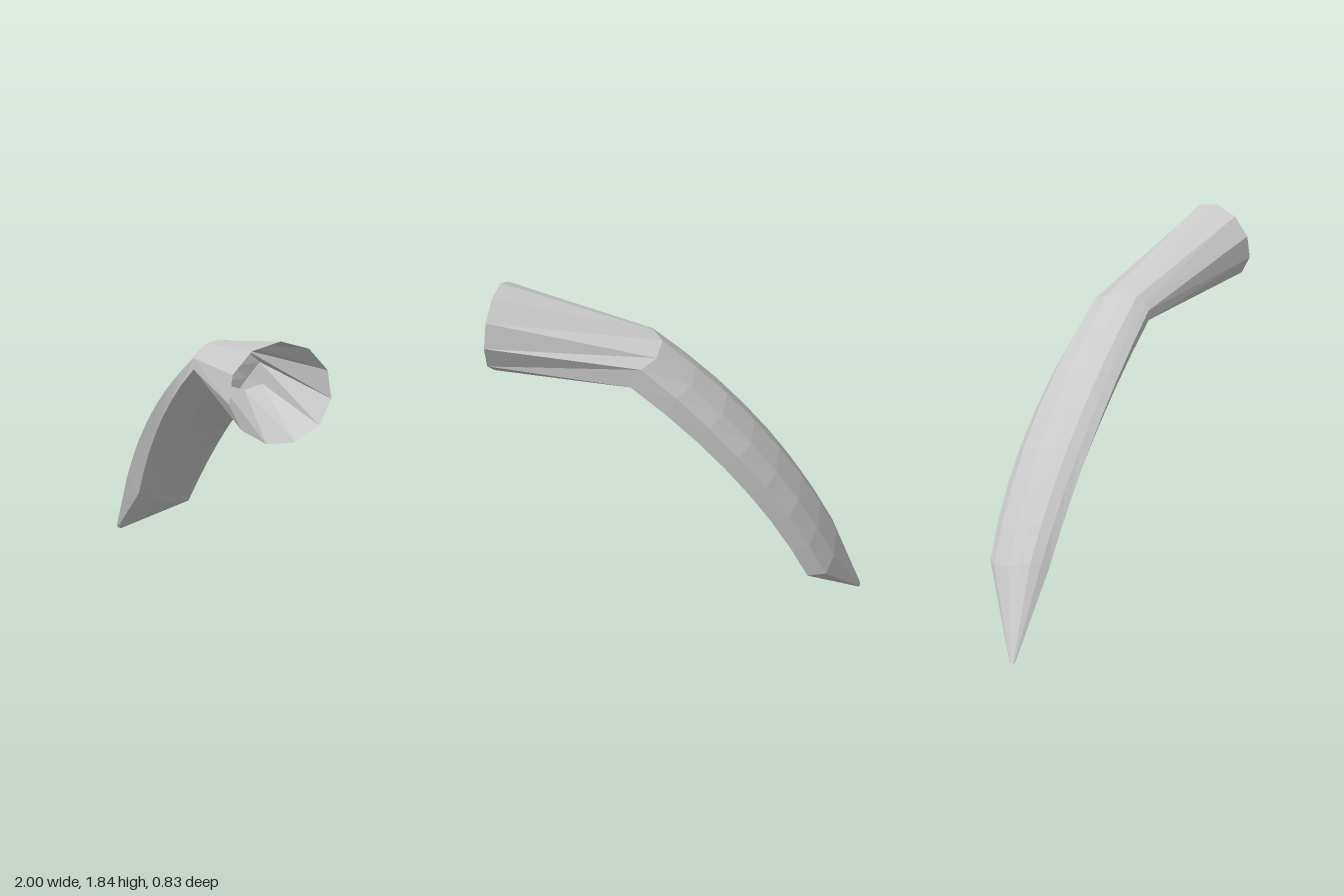
import * as THREE from 'three';

const SIDES = 11;
const vec = (p) => new THREE.Vector3(...p);

// Mouth of the socket: a tilted ring, from the front (+z) over the top to the back
function mouthRing() {
  const ring = [];
  for (let i = 0; i < SIDES; i++) {
    const a = (153 - (i * 360) / SIDES) * Math.PI / 180;
    const z = 0.207 - 0.214 * Math.cos(a);
    const y = 1.62 + 0.22 * Math.sin(a);
    ring.push(new THREE.Vector3(0.925 - 0.365 * (z - 0.205) - 0.13 * (y - 1.625), y, z));
  }
  return ring;
}

// Flattened cross-section at the elbow
const elbow = [
  [0.19, 1.585, 0.09], [0.18, 1.61, 0.05], [0.18, 1.617, -0.01], [0.155, 1.595, -0.1],
  [0.2, 1.54, -0.185], [0.28, 1.495, -0.21], [0.33, 1.4, -0.19], [0.315, 1.385, -0.09],
  [0.26, 1.425, 0.02], [0.18, 1.495, 0.12], [0.18, 1.55, 0.118],
].map(vec);

// Cross-section where the point begins
const shoulder = [
  [-0.735, 0.525, -0.05], [-0.755, 0.535, -0.1], [-0.77, 0.51, -0.16], [-0.775, 0.475, -0.22],
  [-0.725, 0.39, -0.34], [-0.66, 0.33, -0.41], [-0.57, 0.305, -0.375], [-0.585, 0.322, -0.27],
  [-0.617, 0.363, -0.16], [-0.65, 0.415, -0.06], [-0.715, 0.5, -0.015],
].map(vec);

// Skin a list of rings; the last ring may be closed by a cap
function loft(name, rings, material, capEnd = false) {
  const positions = rings.flat().flatMap((p) => p.toArray());
  const index = [];
  for (let r = 0; r < rings.length - 1; r++) {
    for (let i = 0; i < SIDES; i++) {
      const a = r * SIDES + i, b = r * SIDES + (i + 1) % SIDES;
      index.push(a, b, a + SIDES, b, b + SIDES, a + SIDES);
    }
  }
  if (capEnd) {
    const base = (rings.length - 1) * SIDES;
    for (let i = 1; i < SIDES - 1; i++) index.push(base, base + i, base + i + 1);
  }
  const geometry = new THREE.BufferGeometry();
  geometry.setAttribute('position', new THREE.Float32BufferAttribute(positions, 3));
  geometry.setIndex(index);
  geometry.computeVertexNormals();
  const mesh = new THREE.Mesh(geometry, material);
  mesh.name = name;
  return mesh;
}

export function createModel() {
  const material = new THREE.MeshStandardMaterial({
    color: 0xcccccc, flatShading: true, side: THREE.DoubleSide,
  });
  const group = new THREE.Group();
  group.name = 'curvedSpike';

  // Open flared socket
  group.add(loft('socket', [mouthRing(), elbow], material));

  // Arched shaft: blend the two sections and bow them outward, more so at the back edge
  const steps = 7;
  const shaft = [];
  for (let s = 0; s <= steps; s++) {
    const t = s / steps;
    shaft.push(elbow.map((p, i) => {
      const bow = new THREE.Vector3(-0.057, 0.05, 0.14 * shoulder[i].z);
      return p.clone().lerp(shoulder[i], t).addScaledVector(bow, 4 * t * (1 - t));
    }));
  }
  group.add(loft('shaft', shaft, material));

  // Pointed end, shrinking to a tiny blunt face
  const centre = shoulder.reduce((sum, p) => sum.add(p), new THREE.Vector3()).divideScalar(SIDES);
  const tipCentre = new THREE.Vector3(-0.989, 0.013, -0.108);
  const tip = shoulder.map((p) => p.clone().sub(centre).multiplyScalar(0.09).add(tipCentre));
  group.add(loft('tip', [shoulder, tip], material, true));

  return group;
}
